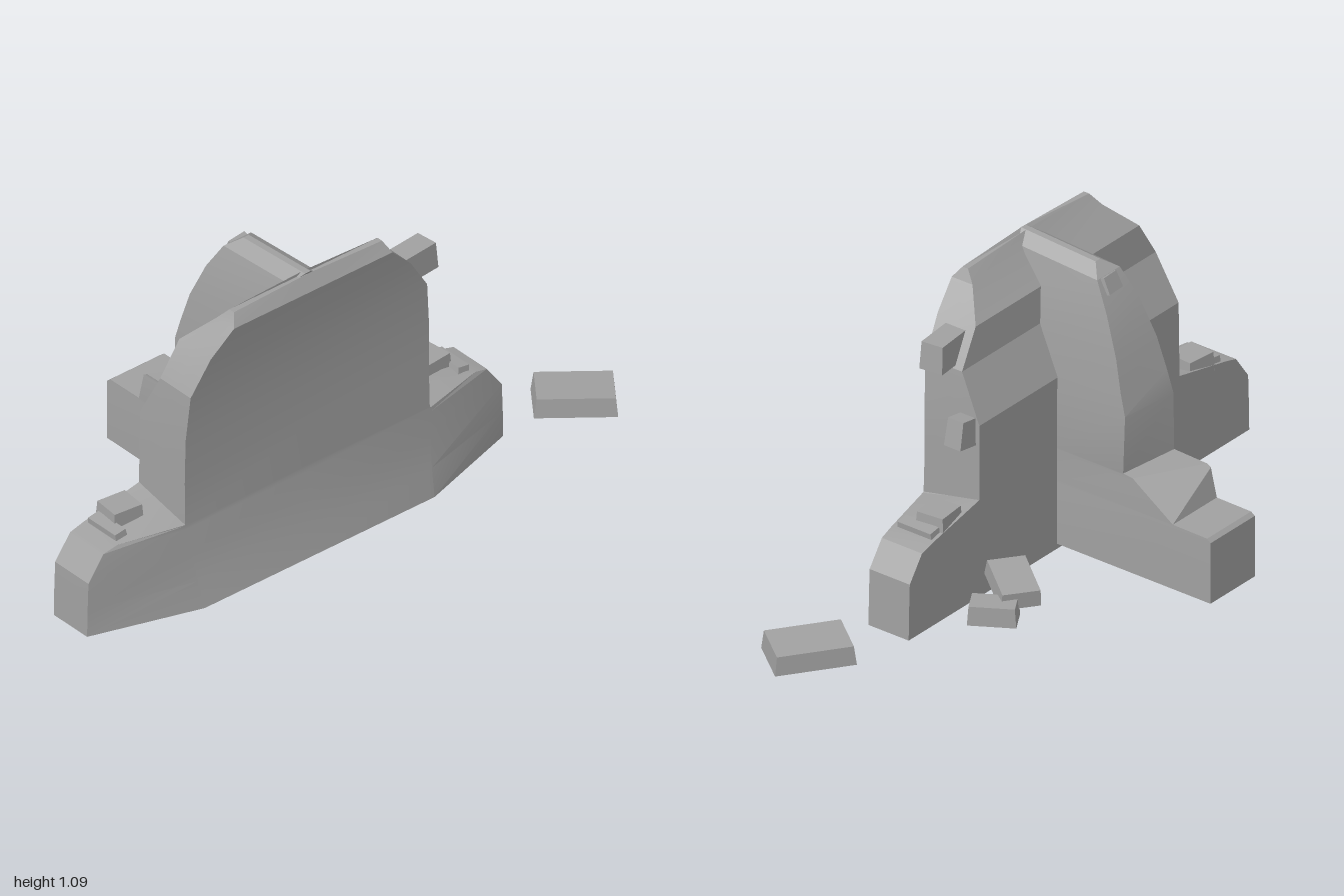
import * as THREE from 'three';
import { toCreasedNormals } from 'three/addons/utils/BufferGeometryUtils.js';

// Every part is a shell without an underside, hence double sided.
const material = new THREE.MeshStandardMaterial({ color: 0xa0a0a0, side: THREE.DoubleSide });

// Shell through rings of [x, y, z], each counter-clockwise from above, closed on top.
function loft(name, rings) {
  const pos = [];
  const tri = (a, b, c) => pos.push(...a, ...b, ...c);
  for (let r = 0; r + 1 < rings.length; r++) {
    const lo = rings[r], hi = rings[r + 1], n = lo.length;
    for (let i = 0; i < n; i++) {
      const j = (i + 1) % n;
      tri(lo[i], lo[j], hi[j]);
      tri(lo[i], hi[j], hi[i]);
    }
  }
  const top = rings[rings.length - 1];
  for (let i = 1; i + 1 < top.length; i++) tri(top[0], top[i], top[i + 1]);
  const g = new THREE.BufferGeometry();
  g.setAttribute('position', new THREE.Float32BufferAttribute(pos, 3));
  const mesh = new THREE.Mesh(toCreasedNormals(g, 0.3), material);
  mesh.name = name;
  return mesh;
}

// Stone with a slightly narrower top.
function stone(name, size, position, rotation = [0, 0, 0], taper = 0.92) {
  const [w, h, d] = size.map((v) => v / 2);
  const ring = (y, k) => [[-w * k, y, -d * k], [-w * k, y, d * k], [w * k, y, d * k], [w * k, y, -d * k]];
  const mesh = loft(name, [ring(-h, 1), ring(h, taper)]);
  mesh.position.set(...position);
  mesh.rotation.set(...rotation);
  return mesh;
}

export function createModel() {
  const model = new THREE.Group();
  model.name = 'ruinedWall';

  // The wall runs along local x (0 to 1.8); local z points to its outer face.
  const wall = new THREE.Group();
  wall.name = 'wall';
  wall.position.set(-0.56, 0, 0.91);
  wall.rotation.y = 1.078;
  model.add(wall);
  const MID = 0.9;

  // Low base with a bulging foot: [y, end inset, end depth, bulge inset, bulge depth]
  const baseRings = [
    [0, -0.006, 0.17, 0.4, 0.295],
    [0.1, -0.004, 0.17, 0.39, 0.27],
    [0.21, 0, 0.17, 0.38, 0.25],
    [0.3, 0.065, 0.17, 0.367, 0.238],
    [0.315, 0.12, 0.175, 0.365, 0.236],
  ].map(([y, e, ed, b, bd]) => [
    [e, y, 0], [e, y, ed], [b, y, bd], [MID, y, bd],
    [1.8 - b, y, bd], [1.8 - e, y, ed], [1.8 - e, y, 0], [MID, y, 0],
  ]);

  // Tall broken part: [y, start, end, back, front, middle rise, back rise at the ends]
  const tallRings = [
    [0.318, 0.365, 1.43, 0, 0.236, 0.005, 0.05],
    [0.48, 0.367, 1.43, 0, 0.231, 0, 0],
    [0.65, 0.37, 1.43, 0, 0.232, 0, 0],
    [0.82, 0.385, 1.415, 0.085, 0.24, 0, 0],
    [0.95, 0.46, 1.33, 0.095, 0.255, 0, 0],
    [1.04, 0.55, 1.24, 0.18, 0.268, 0, 0],
    [1.08, 0.575, 1.22, 0.215, 0.238, 0.012, 0],
  ].map(([y, a, b, back, front, rise, lift]) => {
    const half = (back + front) / 2;
    return [
      [a, y + lift, back], [a, y + lift / 2, half], [a, y, front], [MID, y + rise, front],
      [b, y, front], [b, y + lift / 2, half], [b, y + lift, back], [MID, y + rise, back],
    ];
  });
  wall.add(loft('wallShell', [...baseRings, ...tallRings]));

  // Stepped buttress behind the wall, thinning to a ridge:
  // [y, outer end, half width, inner end, skew of the outer end, rise at the inner end]
  wall.add(loft('buttress', [
    [0.02, -0.65, 0.118, 0.02, 0, 0],
    [0.25, -0.65, 0.118, 0.02, 0, 0],
    [0.262, -0.635, 0.117, 0.02, 0, 0],
    [0.264, -0.49, 0.117, 0.02, 0, 0],
    [0.37, -0.465, 0.117, 0.02, 0.13, 0],
    [0.38, -0.45, 0.116, 0.02, 0.13, 0],
    [0.385, -0.31, 0.117, 0.02, 0.03, 0],
    [0.6, -0.307, 0.116, 0.02, 0.02, 0],
    [0.68, -0.285, 0.111, 0.05, 0.02, 0],
    [0.8, -0.248, 0.102, 0.1, 0.01, 0],
    [0.94, -0.185, 0.085, 0.14, 0, 0],
    [1.04, -0.125, 0.06, 0.21, 0, 0.02],
    [1.075, -0.08, 0.012, 0.235, 0, 0.019],
  ].map(([y, out, w, inner, skew, rise]) => [
    [MID - w, y, out], [MID - w, y + rise, inner], [MID + w, y + rise, inner], [MID + w, y, out + skew],
  ])));

  // Broken stones on both ledges
  for (const side of [-1, 1]) {
    const x = (d) => MID + side * d;
    wall.add(
      stone('ledgeStone', [0.12, 0.07, 0.11], [x(0.67), 0.342, 0.06], [0, 0.1 * side, 0]),
      stone('ledgeChip', [0.05, 0.04, 0.15], [x(0.745), 0.322, 0.085], [0, 0, -0.15 * side]),
    );
  }

  // Stones still sticking out of the broken edges
  wall.add(
    stone('upperLooseStone', [0.21, 0.1, 0.09], [1.39, 0.88, 0.165], [0, 0.1, 0]),
    stone('lowerLooseStone', [0.11, 0.1, 0.07], [1.45, 0.625, 0.05], [0, 0, 0.15]),
    stone('buttressLooseStone', [0.08, 0.06, 0.09], [MID + 0.01, 1.0, -0.11], [0.4, 0.1, 0]),
  );

  // Fallen slabs on the ground
  model.add(
    stone('fallenSlab', [0.28, 0.07, 0.185], [0.598, 0.042, -0.857], [-0.05, 0.43, 0], 0.94),
    stone('fallenStone', [0.165, 0.07, 0.1], [0.04, 0.045, -0.51], [0, 0.05, 0], 0.94),
    stone('leaningStone', [0.14, 0.06, 0.2], [-0.005, 0.09, -0.39], [-0.2, 0.45, 0.1], 0.94),
  );
  return model;
}
